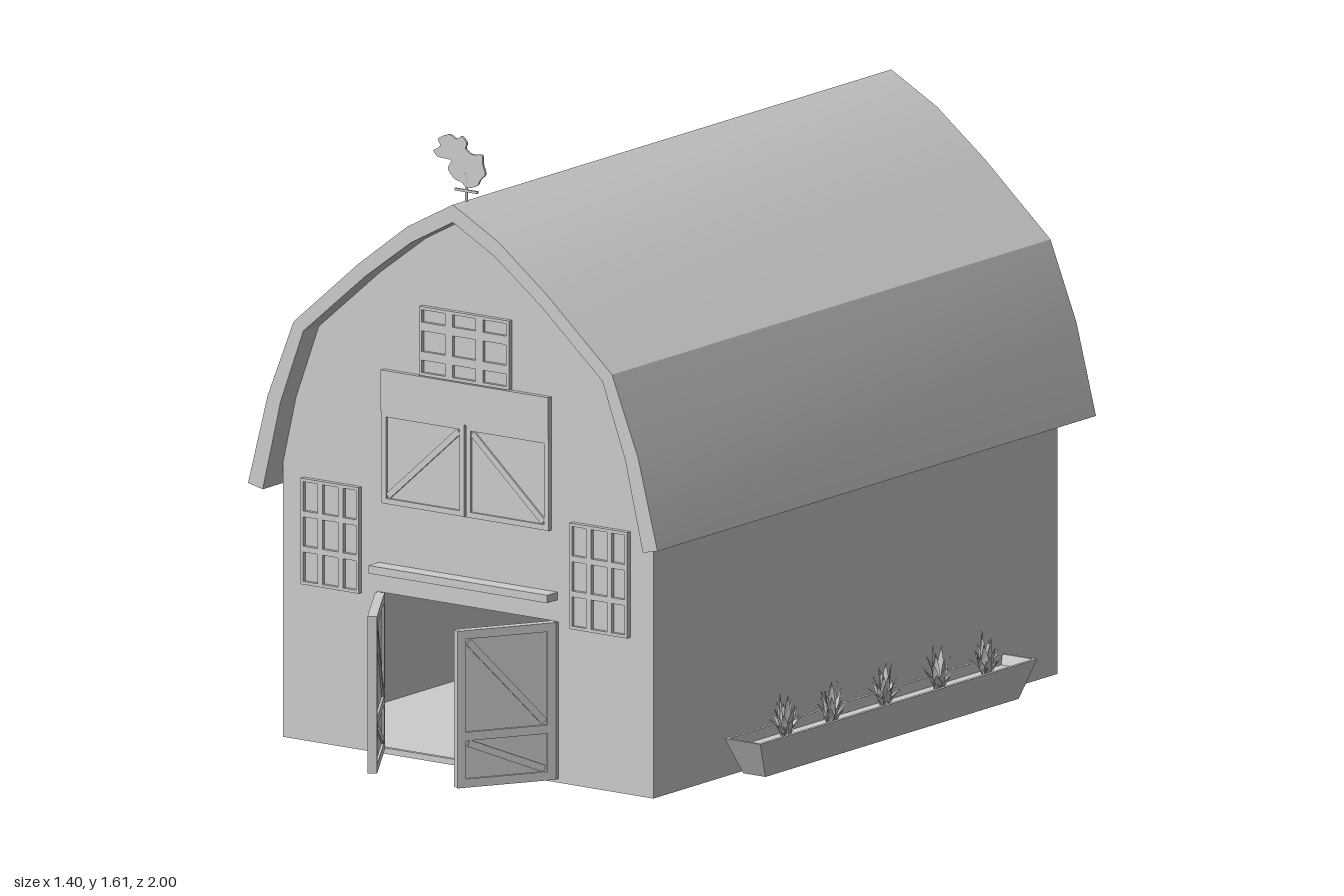
import * as THREE from 'three';
import { toCreasedNormals } from 'three/addons/utils/BufferGeometryUtils.js';

const grey = new THREE.MeshStandardMaterial({ color: 0xcccccc });
const greyThin = new THREE.MeshStandardMaterial({ color: 0xcccccc, side: THREE.DoubleSide });

function add(parent, name, geo, x = 0, y = 0, z = 0, mat = grey) {
  const m = new THREE.Mesh(geo, mat);
  m.name = name;
  m.position.set(x, y, z);
  parent.add(m);
  return m;
}

function group(parent, name, x = 0, y = 0, z = 0) {
  const g = new THREE.Group();
  g.name = name;
  g.position.set(x, y, z);
  parent.add(g);
  return g;
}

const box = (w, h, d) => new THREE.BoxGeometry(w, h, d);
const shapeOf = (pts) => new THREE.Shape(pts.map(([x, y]) => new THREE.Vector2(x, y)));
const extrude = (shape, depth) => new THREE.ExtrudeGeometry(shape, { depth, bevelEnabled: false });
// Full symmetric line from a right half listed from eave to ridge
const mirrored = (half) => [...half, ...half.slice(0, -1).reverse().map(([x, y]) => [-x, y])];

function rectHole(shape, x0, y0, x1, y1) {
  shape.holes.push(new THREE.Path([[x0, y0], [x0, y1], [x1, y1], [x1, y0]].map((p) => new THREE.Vector2(...p))));
}

// Flat bar running between two points in the xy plane
function bar(parent, name, x0, y0, x1, y1, w, z, d) {
  const m = add(parent, name, box(Math.hypot(x1 - x0, y1 - y0), w, d), (x0 + x1) / 2, (y0 + y1) / 2, z);
  m.rotation.z = Math.atan2(y1 - y0, x1 - x0);
}

// Rectangular trim with its centre line on the given bounds
function trim(parent, x0, y0, x1, y1, w, z, d) {
  const outer = shapeOf([[x0, y0], [x1, y0], [x1, y1], [x0, y1]]);
  rectHole(outer, x0 + w, y0 + w, x1 - w, y1 - w);
  add(parent, 'doorTrim', extrude(outer, d), 0, 0, z);
}

// Window lattice, centred on its own origin and facing +z
function addWindow(parent, name, w, h, cols, rows, gap, x, y, z) {
  const g = group(parent, name, x, y, z);
  const frame = shapeOf([[-w / 2, -h / 2], [w / 2, -h / 2], [w / 2, h / 2], [-w / 2, h / 2]]);
  const edge = 0.008;
  const spread = (size, parts) => {
    const unit = (size - 2 * edge - gap * (parts.length - 1)) / parts.reduce((a, b) => a + b);
    let at = -size / 2 + edge;
    return parts.map((p) => {
      const span = [at, at + p * unit];
      at += p * unit + gap;
      return span;
    });
  };
  for (const [x0, x1] of spread(w, cols)) for (const [y0, y1] of spread(h, rows)) rectHole(frame, x0, y0, x1, y1);
  add(g, 'windowFrame', extrude(frame, 0.014));
  add(g, 'windowPane', box(w - 0.004, h - 0.004, 0.004), 0, 0, 0.002);
  return g;
}

// Loft through rectangular rings [halfX, halfZ, y], closed at both ends
function rectLoft(rings) {
  const pos = [];
  const loops = rings.map(([a, b, y]) => [[a, y, b], [a, y, -b], [-a, y, -b], [-a, y, b]]);
  const quad = (a, b, c, d) => pos.push(...a, ...b, ...c, ...a, ...c, ...d);
  for (let i = 0; i + 1 < loops.length; i++)
    for (let k = 0; k < 4; k++) quad(loops[i][k], loops[i][(k + 1) % 4], loops[i + 1][(k + 1) % 4], loops[i + 1][k]);
  quad(...[...loops[0]].reverse());
  quad(...loops[loops.length - 1]);
  const geo = new THREE.BufferGeometry();
  geo.setAttribute('position', new THREE.Float32BufferAttribute(pos, 3));
  geo.computeVertexNormals();
  return geo;
}

// Pointed leaf, rising from the origin and bending towards +z
function leafGeometry(height, lean) {
  const geo = new THREE.PlaneGeometry(0.02, height, 2, 5);
  const p = geo.attributes.position;
  for (let i = 0; i < p.count; i++) {
    const t = p.getY(i) / height + 0.5;
    const side = p.getX(i);
    p.setXYZ(i, side * Math.sin(Math.PI * (0.15 + 0.85 * t)), t * height, lean * t * t + Math.abs(side) * 0.3);
  }
  geo.computeVertexNormals();
  return geo;
}

function addPlant(parent, x, y, z, turn) {
  const plant = group(parent, 'plant', x, y, z);
  plant.rotation.y = turn;
  [[4, 0.115, 0.008], [6, 0.09, 0.022], [7, 0.06, 0.034]].forEach(([n, h, lean], r) => {
    for (let i = 0; i < n; i++) {
      const a = (i / n) * Math.PI * 2 + r * 0.5;
      const leaf = add(plant, 'leaf', leafGeometry(h * (1 - 0.12 * (i % 3)), lean), Math.sin(a) * 0.006, 0, Math.cos(a) * 0.006, greyThin);
      leaf.rotation.y = a;
    }
  });
}

// Door leaf with trim and braces; s is the side of its hinge
function addDoor(parent, s) {
  const door = group(parent, s > 0 ? 'leftDoor' : 'rightDoor', s * 0.268, 0.01, 0.775);
  door.rotation.y = s * 1.01;
  const W = 0.262, H = 0.4, w = 0.022;
  add(door, 'doorPanel', box(W, H, 0.012), (-s * W) / 2, H / 2, 0);
  const [x0, x1] = s > 0 ? [-W, 0] : [0, W];
  for (const z of [0.006, -0.012]) {
    trim(door, x0, 0, x1, H, w, z, 0.006);
    bar(door, 'middleRail', x0 + w, 0.13, x1 - w, 0.13, w, z + 0.003, 0.006);
    bar(door, 'upperBrace', -s * (W - 0.03), H - 0.03, -s * 0.03, 0.15, 0.018, z + 0.003, 0.005);
    bar(door, 'lowerBrace', -s * (W - 0.03), 0.112, -s * 0.03, 0.03, 0.018, z + 0.003, 0.005);
  }
}

export function createModel() {
  const barn = new THREE.Group();
  barn.name = 'barn';

  // Gable walls, side walls and floor around a hollow interior
  const inner = [[0.585, 0.64], [0.53, 0.87], [0.46, 1.06], [0.27, 1.225], [0.13, 1.33], [0, 1.4]];
  const wallLine = mirrored([[0.57, 0.005], [0.57, 0.7], ...inner.slice(1)]);
  const front = shapeOf(wallLine);
  rectHole(front, -0.272, 0.015, 0.272, 0.41);
  add(barn, 'frontWall', extrude(front, 0.012), 0, 0, 0.758);
  add(barn, 'backWall', extrude(shapeOf(wallLine), 0.012), 0, 0, -0.92);
  for (const s of [-1, 1]) add(barn, 'sideWall', box(0.012, 0.695, 1.69), s * 0.564, 0.3525, -0.075);
  add(barn, 'floor', box(1.14, 0.012, 1.69), 0, 0.006, -0.075);

  // Gambrel roof slab
  const outer = [[0.63, 0.65], [0.57, 0.88], [0.49, 1.08], [0.29, 1.255], [0.14, 1.37], [0, 1.445]];
  const roof = shapeOf([...mirrored(outer), ...mirrored(inner).reverse()]);
  add(barn, 'roof', toCreasedNormals(extrude(roof, 1.835), 0.45), 0, 0, -1);

  // Open double doors, their surround and the track above
  for (const s of [-1, 1]) {
    addDoor(barn, s);
    add(barn, 'doorJamb', box(0.01, 0.4, 0.02), s * 0.273, 0.21, 0.768);
  }
  add(barn, 'doorTrack', box(0.55, 0.02, 0.045), 0, 0.475, 0.792);

  // Hay loft doors with header board
  const loft = group(barn, 'loftDoors', 0, 0, 0.77);
  add(loft, 'headerBoard', box(0.515, 0.105, 0.014), -0.002, 0.927, 0.007);
  for (const s of [-1, 1]) {
    const [a, b] = s > 0 ? [0.002, 0.256] : [-0.258, -0.004];
    add(loft, 'loftPanel', box(b - a, 0.235, 0.006), (a + b) / 2, 0.7575, 0.003);
    trim(loft, a, 0.64, b, 0.875, 0.014, 0.006, 0.006);
    bar(loft, 'loftBrace', s > 0 ? a + 0.018 : b - 0.018, 0.855, s > 0 ? b - 0.018 : a + 0.018, 0.66, 0.016, 0.0085, 0.005);
  }

  // Windows on the front and along the right side
  addWindow(barn, 'gableWindow', 0.276, 0.176, [1, 1, 1], [0.6, 1, 0.6], 0.022, -0.003, 1.07, 0.77);
  addWindow(barn, 'frontWindow', 0.178, 0.27, [1, 1.1, 0.9], [1, 1, 1], 0.015, -0.417, 0.535, 0.77);
  addWindow(barn, 'frontWindow', 0.178, 0.27, [1, 1.1, 0.9], [1, 1, 1], 0.015, 0.41, 0.535, 0.77);
  for (const z of [-0.49, -0.045, 0.4]) {
    addWindow(barn, 'sideWindow', 0.28, 0.2, [1, 1, 1], [1, 1, 1], 0.018, -0.57, 0.52, z).rotation.y = -Math.PI / 2;
  }

  // Flower troughs along both sides
  for (const s of [-1, 1]) {
    const trough = group(barn, 'planter', s * 0.645, 0, -0.08);
    add(trough, 'trough', rectLoft([[0.034, 0.53, 0.01], [0.055, 0.58, 0.105], [0.046, 0.571, 0.105], [0.042, 0.56, 0.08]]));
    [0.33, 0.14, -0.085, -0.31, -0.51].forEach((z, i) => addPlant(trough, s * 0.008, 0.08, z + 0.08, i * 1.3 + s));
  }

  // Weather vane with a flat bird silhouette
  const vane = group(barn, 'weatherVane', 0, 0, 0.778);
  add(vane, 'vanePole', new THREE.CylinderGeometry(0.004, 0.004, 0.09, 8), 0, 1.47, 0);
  add(vane, 'vaneCrossbar', box(0.07, 0.006, 0.006), 0, 1.47, 0);
  const outline = [[-0.1, 1.56], [-0.085, 1.545], [-0.045, 1.542], [-0.055, 1.52], [-0.035, 1.497], [-0.012, 1.49], [0.005, 1.478], [0.035, 1.488], [0.045, 1.505], [0.06, 1.52], [0.052, 1.545], [0.05, 1.568], [0.02, 1.565], [0, 1.577], [0.003, 1.592], [-0.012, 1.607], [-0.03, 1.598], [-0.05, 1.607], [-0.085, 1.592], [-0.078, 1.575]];
  const bird = new THREE.Shape();
  bird.moveTo(...outline[0]);
  bird.splineThru([...outline.slice(1), outline[0]].map((p) => new THREE.Vector2(...p)));
  add(vane, 'vaneBird', new THREE.ExtrudeGeometry(bird, { depth: 0.006, bevelEnabled: false, curveSegments: 3 }), 0, 0, -0.003);

  return barn;
}
